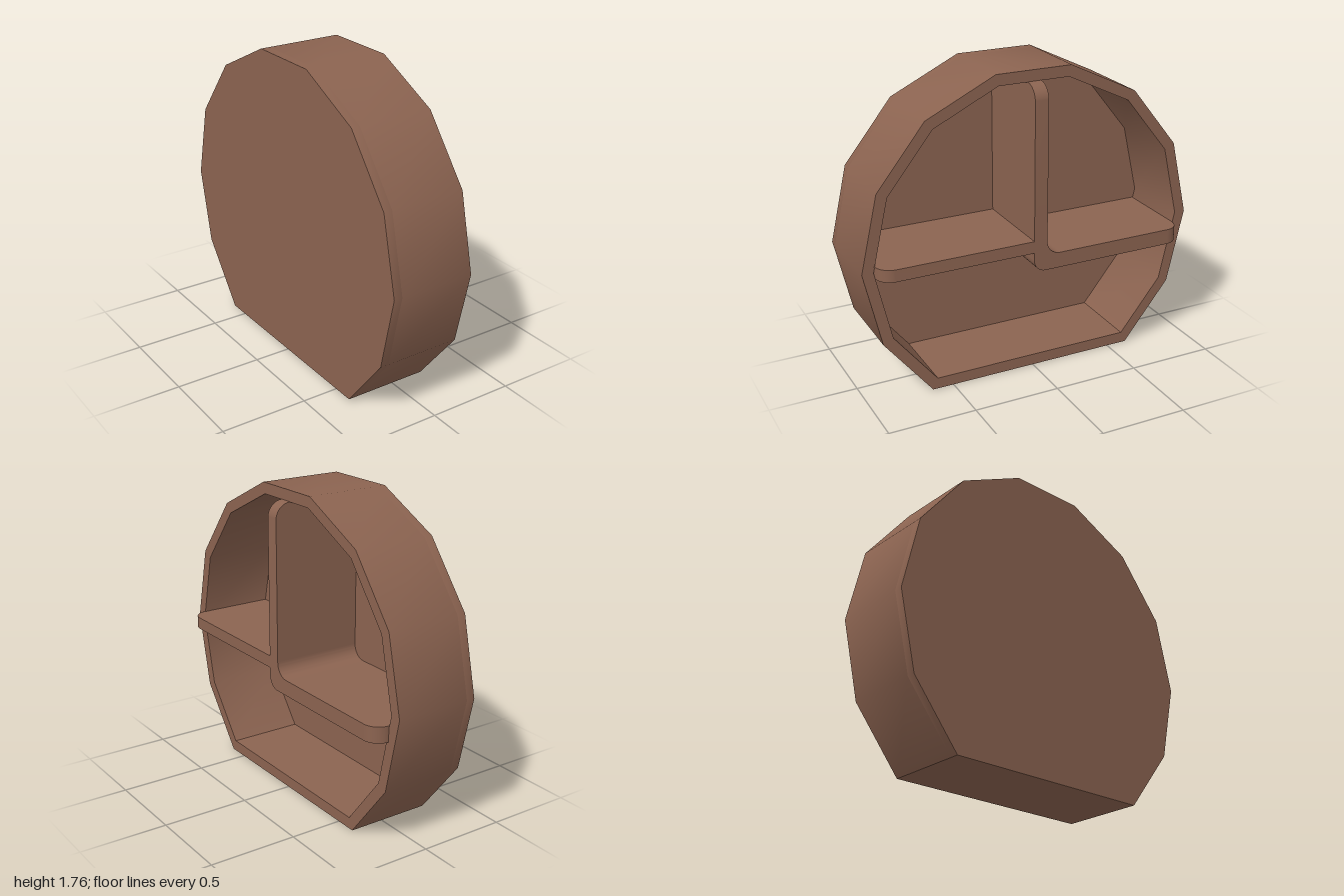
import * as THREE from 'three';
import { toCreasedNormals } from 'three/addons/utils/BufferGeometryUtils.js';

const BACK = -0.29, FLOOR = -0.24, RIM = 0.2, TOP = 0.29, CENTRE_Y = 0.782;
const material = new THREE.MeshStandardMaterial({ color: 0x8b6350 });

function extrude(shape, depth) {
  const geo = new THREE.ExtrudeGeometry(shape, { depth, bevelEnabled: false, curveSegments: 8 });
  return toCreasedNormals(geo, 0.7);
}

function addMesh(group, name, geo) {
  const mesh = new THREE.Mesh(geo, material);
  mesh.name = name;
  group.add(mesh);
}

// Extrude a (-z, y) outline along x between two planes
function slab(shape, x0, x1) {
  return extrude(shape, x1 - x0).rotateY(Math.PI / 2).translate(x0, 0, 0);
}

// Fourteen-sided outline cut off flat at the bottom
function outline(radius, bottom) {
  const pts = [];
  for (let k = -1; k <= 8; k++) {
    const a = (k * Math.PI) / 7;
    pts.push(new THREE.Vector2(radius * Math.cos(a), CENTRE_Y + radius * Math.sin(a)));
  }
  // lowest side edges run towards the next polygon corner, stopping at the bottom
  const a = (2 * Math.PI) / 7;
  const low = new THREE.Vector2(radius * Math.cos(a), CENTRE_Y - radius * Math.sin(a));
  const t = (pts[0].y - bottom) / (pts[0].y - low.y);
  const x = pts[0].x + (low.x - pts[0].x) * t;
  pts.push(new THREE.Vector2(-x, bottom), new THREE.Vector2(x, bottom));
  return pts;
}

// Divider wall along a direction, with its outer front corner rounded
function divider(dir, start, length, thickness) {
  const r = 0.09;
  const s = new THREE.Shape();
  s.moveTo(0, FLOOR);
  s.lineTo(length, FLOOR);
  s.lineTo(length, TOP - r);
  s.absarc(length - r, TOP - r, r, 0, Math.PI / 2, false);
  s.lineTo(0, TOP);
  const xAxis = new THREE.Vector3(1, 0, 0);
  const side = new THREE.Vector3().crossVectors(dir, xAxis);
  const basis = new THREE.Matrix4().makeBasis(dir, xAxis, side).setPosition(start);
  return extrude(s, thickness).translate(0, 0, -thickness / 2).applyMatrix4(basis);
}

export function createModel() {
  const model = new THREE.Group();
  model.name = 'dividedTray';

  // Back panel and surrounding wall
  const outer = outline(1, 0), inner = outline(0.935, 0.065);
  addMesh(model, 'backPanel', slab(new THREE.Shape(outer), BACK, FLOOR));
  const ring = new THREE.Shape(outer);
  ring.holes.push(new THREE.Path(inner));
  addMesh(model, 'outerWall', slab(ring, FLOOR, RIM));

  // Rounded elbow joining the upright and the lower arm
  const elbow = new THREE.Shape();
  elbow.moveTo(0.12, 0.635);
  elbow.lineTo(0.12, 0.725);
  elbow.absarc(0.12, 0.805, 0.08, -Math.PI / 2, -Math.PI, true);
  elbow.lineTo(-0.04, 0.805);
  elbow.lineTo(-0.04, 0.705);
  elbow.absarc(0.03, 0.705, 0.07, Math.PI, Math.PI * 1.5, false);
  addMesh(model, 'dividerElbow', slab(elbow, FLOOR, TOP));

  // Divider walls
  const v = (x, y, z) => new THREE.Vector3(x, y, z);
  addMesh(model, 'uprightDivider', divider(v(0, 1, 0), v(0, 0.805, 0), 0.89, 0.08));
  addMesh(model, 'backDivider', divider(v(0, 0, -1), v(0, 0.68, -0.12), 0.798, 0.09));
  addMesh(model, 'frontDivider', divider(v(0, 0, 1), v(0, 0.785, 0.04), 0.89, 0.07));

  return model;
}
